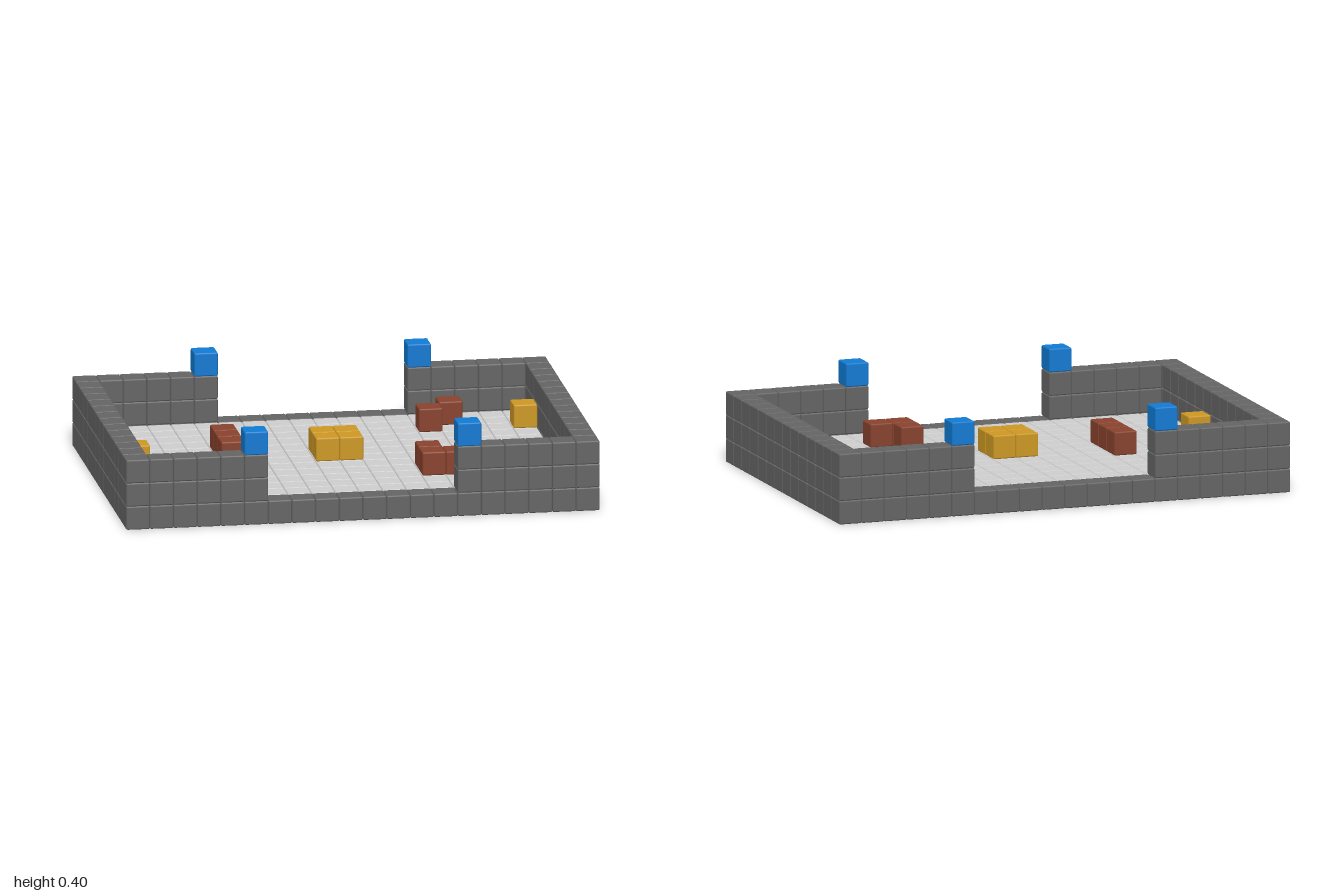
import * as THREE from 'three';
import { mergeGeometries } from 'three/addons/utils/BufferGeometryUtils.js';
import { RoundedBoxGeometry } from 'three/addons/geometries/RoundedBoxGeometry.js';

const CELL = 0.1, COLS = 20, ROWS = 14;

const material = (name, color) => {
  const m = new THREE.MeshStandardMaterial({ color });
  m.name = name;
  return m;
};

// One softly bevelled cube, repeated at grid cells [column, level, row]
const cube = new RoundedBoxGeometry(CELL, CELL, CELL, 1, 0.006);
function blocks(name, mat, cells) {
  const parts = cells.map(([c, level, r]) => cube.clone().translate(
    (c + 0.5 - COLS / 2) * CELL, (level + 0.5) * CELL, (r + 0.5 - ROWS / 2) * CELL));
  const mesh = new THREE.Mesh(mergeGeometries(parts), mat);
  mesh.name = name;
  return mesh;
}

export function createModel() {
  const group = new THREE.Group();
  group.name = 'arena';
  const wallMat = material('dark grey', 0x646464);
  const floorMat = material('light grey', 0xcdcdcd);
  const blueMat = material('blue', 0x107ad2);
  const brownMat = material('brown', 0x88422d);
  const goldMat = material('gold', 0xcd9823);

  // Floor tiles inside a wall with a low gateway in the front and back
  const floor = [], walls = [];
  for (let c = 0; c < COLS; c++) {
    for (let r = 0; r < ROWS; r++) {
      const side = c === 0 || c === COLS - 1;
      const end = r === 0 || r === ROWS - 1;
      if (!side && !end) {
        floor.push([c, 0, r]);
        continue;
      }
      const height = end && c >= 6 && c <= 13 ? 1 : 3;
      for (let level = 0; level < height; level++) walls.push([c, level, r]);
    }
  }
  group.add(blocks('floor', floorMat, floor));
  group.add(blocks('walls', wallMat, walls));

  // Blue markers on the gateway posts
  const markers = [];
  for (const c of [5, 14]) for (const r of [0, ROWS - 1]) markers.push([c, 3, r]);
  group.add(blocks('gateMarkers', blueMat, markers));

  // Brown obstacles
  group.add(blocks('barrier', brownMat, [[5, 1, 5], [5, 1, 6], [5, 1, 7]]));
  group.add(blocks('cornerBarrier', brownMat, [[13, 1, 9], [13, 1, 10], [14, 1, 10]]));
  group.add(blocks('diagonalBarrier', brownMat, [[15, 1, 2], [14, 1, 3]]));

  // Gold centre platform and single blocks
  group.add(blocks('centrePlatform', goldMat, [[9, 1, 6], [10, 1, 6], [9, 1, 7], [10, 1, 7]]));
  group.add(blocks('goldBlocks', goldMat, [[1, 1, 7], [18, 1, 3], [18, 1, 10]]));

  return group;
}
